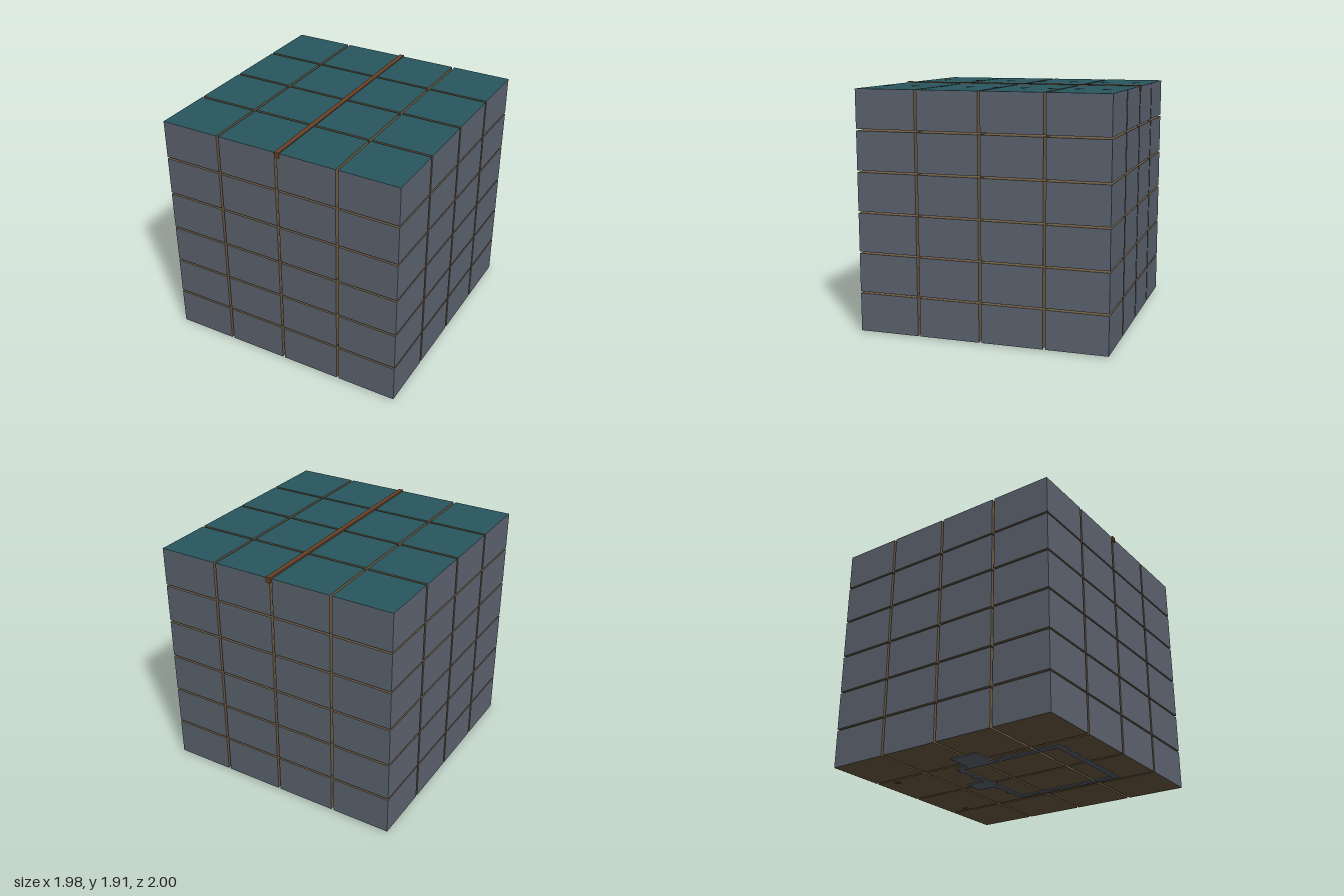
import * as THREE from 'three';

const mat = (color) => new THREE.MeshStandardMaterial({ color, side: THREE.DoubleSide, flatShading: true });
const stone = mat(0x5d6470);
const teal = mat(0x28565e);
const wood = mat(0x6a4229);
const plaster = mat(0x958a63);
const earth = mat(0x6e5c42);
const glass = mat(0x343a44);

function box(parent, name, material, x0, x1, y0, y1, z0, z1) {
  const mesh = new THREE.Mesh(new THREE.BoxGeometry(x1 - x0, y1 - y0, z1 - z0), material);
  mesh.position.set((x0 + x1) / 2, (y0 + y1) / 2, (z0 + z1) / 2);
  mesh.name = name;
  parent.add(mesh);
  return mesh;
}

// Square beam between two points
function beam(parent, name, a, b, t = 0.03) {
  const from = new THREE.Vector3(...a), to = new THREE.Vector3(...b);
  const mesh = new THREE.Mesh(new THREE.BoxGeometry(t, t, from.distanceTo(to)), wood);
  mesh.position.copy(from).add(to).multiplyScalar(0.5);
  mesh.lookAt(to);
  mesh.name = name;
  parent.add(mesh);
}

// Outline in x and y, extruded from z0 to z1
function prism(parent, name, material, points, z0, z1) {
  const shape = new THREE.Shape(points.map(([x, y]) => new THREE.Vector2(x, y)));
  const geo = new THREE.ExtrudeGeometry(shape, { depth: z1 - z0, bevelEnabled: false });
  const mesh = new THREE.Mesh(geo, material);
  mesh.position.z = z0;
  mesh.name = name;
  parent.add(mesh);
  return mesh;
}

const chevron = (w, eave, top, t) => [[-w, eave], [0, top], [w, eave], [w - t * 0.7, eave], [0, top - t], [-w + t * 0.7, eave]];

// Grid of blocks with narrow gaps; outer sides, top and inner faces differ in colour
function buildBlocks() {
  const g = new THREE.Group();
  g.name = 'blockGrid';
  const geo = new THREE.BoxGeometry(0.48, 0.303, 0.48);
  for (let i = 0; i < 4; i++) for (let j = 0; j < 6; j++) for (let k = 0; k < 4; k++) {
    const block = new THREE.Mesh(geo, [
      i === 3 ? stone : earth, i === 0 ? stone : earth,
      j === 5 ? teal : earth, earth,
      k === 3 ? stone : earth, k === 0 ? stone : earth,
    ]);
    block.position.set(-0.75 + i * 0.5, 0.16 + j * 0.3177, -0.75 + k * 0.5);
    block.name = 'block';
    g.add(block);
  }
  return g;
}

// Stone ground floor, back step, posts and chimney
function buildBase() {
  const g = new THREE.Group();
  g.name = 'stoneBase';
  for (const s of [-1, 1]) {
    box(g, 'sideWall', stone, s * 0.42 - 0.02, s * 0.42 + 0.02, 0, 0.57, -0.23, 0.71);
    box(g, 'overhangPost', wood, s * 0.445 - 0.018, s * 0.445 + 0.018, 0, 0.58, -0.84, -0.8);
    beam(g, 'postBrace', [s * 0.445, 0.4, -0.82], [s * 0.445, 0.57, -0.65]);
    beam(g, 'eaveBrace', [s * 0.45, 0.45, 0.6], [s * 0.52, 0.58, 0.6]);
  }
  box(g, 'backWall', stone, -0.44, 0.44, 0, 0.57, -0.23, -0.19);
  box(g, 'frontWall', stone, -0.44, 0.44, 0, 0.57, 0.67, 0.71);
  box(g, 'backStep', stone, -0.08, 0.08, 0, 0.04, -0.39, -0.23);
  box(g, 'sideDoor', wood, 0.43, 0.46, 0.01, 0.5, -0.08, 0.08);

  // Protruding stones along the walls
  for (let n = 0; n < 10; n++) for (let row = 0; row < 4; row++) {
    const z = -0.18 + n * 0.09, x = -0.36 + n * 0.08, y = row * 0.14 + (n % 2) * 0.03;
    for (const s of [-1, 1]) box(g, 'wallStone', stone, s * 0.445 - 0.01, s * 0.445 + 0.01, y, y + 0.07, z, z + 0.05);
    box(g, 'wallStone', stone, x - 0.025, x + 0.025, y, y + 0.07, 0.7, 0.725);
    if (Math.abs(x) > 0.1) box(g, 'wallStone', stone, x - 0.025, x + 0.025, y, y + 0.07, -0.245, -0.22);
  }

  box(g, 'chimneyFoot', stone, -0.65, -0.44, 0, 0.6, -0.12, 0.12);
  box(g, 'chimneyStack', stone, -0.62, -0.42, 0.6, 1.7, -0.1, 0.1);
  box(g, 'chimneyCap', stone, -0.64, -0.4, 1.7, 1.75, -0.12, 0.12);
  return g;
}

// Timber-framed upper floor with gables
function buildUpperFloor() {
  const g = new THREE.Group();
  g.name = 'upperFloor';
  const outline = [[-0.46, 0.58], [0.46, 0.58], [0.46, 1.17], [0, 1.82], [-0.46, 1.17]];
  prism(g, 'plasterWalls', plaster, outline, -0.8, 0.73);
  for (const z of [-0.81, 0.74]) {
    for (const y of [0.6, 0.95, 1.2]) beam(g, 'crossBeam', [-0.48, y, z], [0.48, y, z]);
    for (const x of [-0.46, -0.23, 0.23, 0.46]) beam(g, 'stud', [x, 0.58, z], [x, 1.17, z]);
    for (const s of [-1, 1]) {
      beam(g, 'diagonalBrace', [s * 0.23, 0.6, z], [s * 0.46, 0.95, z]);
      beam(g, 'gableBrace', [s * 0.3, 1.2, z], [s * 0.1, 1.6, z]);
    }
    box(g, 'gableWindow', glass, -0.08, 0.08, 1.28, 1.46, z - 0.01, z + 0.01);
  }
  for (const s of [-1, 1]) {
    for (const y of [0.59, 0.97]) beam(g, 'sideBeam', [s * 0.47, y, -0.82], [s * 0.47, y, 0.75]);
    for (const z of [-0.5, -0.2, 0.2, 0.5]) beam(g, 'sideStud', [s * 0.47, 0.58, z], [s * 0.47, 1.15, z]);
    for (const z of [-0.5, 0.5]) beam(g, 'sideBrace', [s * 0.47, 0.6, z], [s * 0.47, 0.95, z * 1.45]);
    box(g, 'sideWindow', glass, s * 0.47 - 0.01, s * 0.47 + 0.01, 0.75, 0.91, -0.09, 0.09);
  }
  return g;
}

// Steep roof, trim boards, dormers and long ridge beam
function buildRoof() {
  const g = new THREE.Group();
  g.name = 'roof';
  prism(g, 'roofSlopes', teal, chevron(0.59, 1.07, 1.88, 0.06), -0.88, 0.9);
  prism(g, 'backTrim', wood, chevron(0.6, 1.07, 1.89, 0.09), -0.92, -0.88);
  prism(g, 'frontTrim', wood, chevron(0.6, 1.07, 1.89, 0.09), 0.9, 0.95);
  for (const s of [-1, 1]) for (const z of [-0.5, 0.5]) {
    const dormer = new THREE.Group();
    dormer.name = 'dormer';
    prism(dormer, 'dormerWall', plaster, [[-0.12, 1.25], [0.12, 1.25], [0.12, 1.42], [0, 1.56], [-0.12, 1.42]], 0.1, 0.36);
    prism(dormer, 'dormerRoof', teal, chevron(0.16, 1.4, 1.61, 0.04), 0.12, 0.39);
    box(dormer, 'dormerWindow', glass, -0.06, 0.06, 1.3, 1.43, 0.355, 0.37);
    dormer.rotation.y = s * Math.PI / 2;
    dormer.position.z = z;
    g.add(dormer);
  }
  box(g, 'ridgeBeam', wood, -0.003, 0.035, 1.865, 1.908, -1, 1);
  return g;
}

export function createModel() {
  const model = new THREE.Group();
  model.name = 'houseInBlockGrid';
  model.add(buildBlocks(), buildBase(), buildUpperFloor(), buildRoof());
  return model;
}
